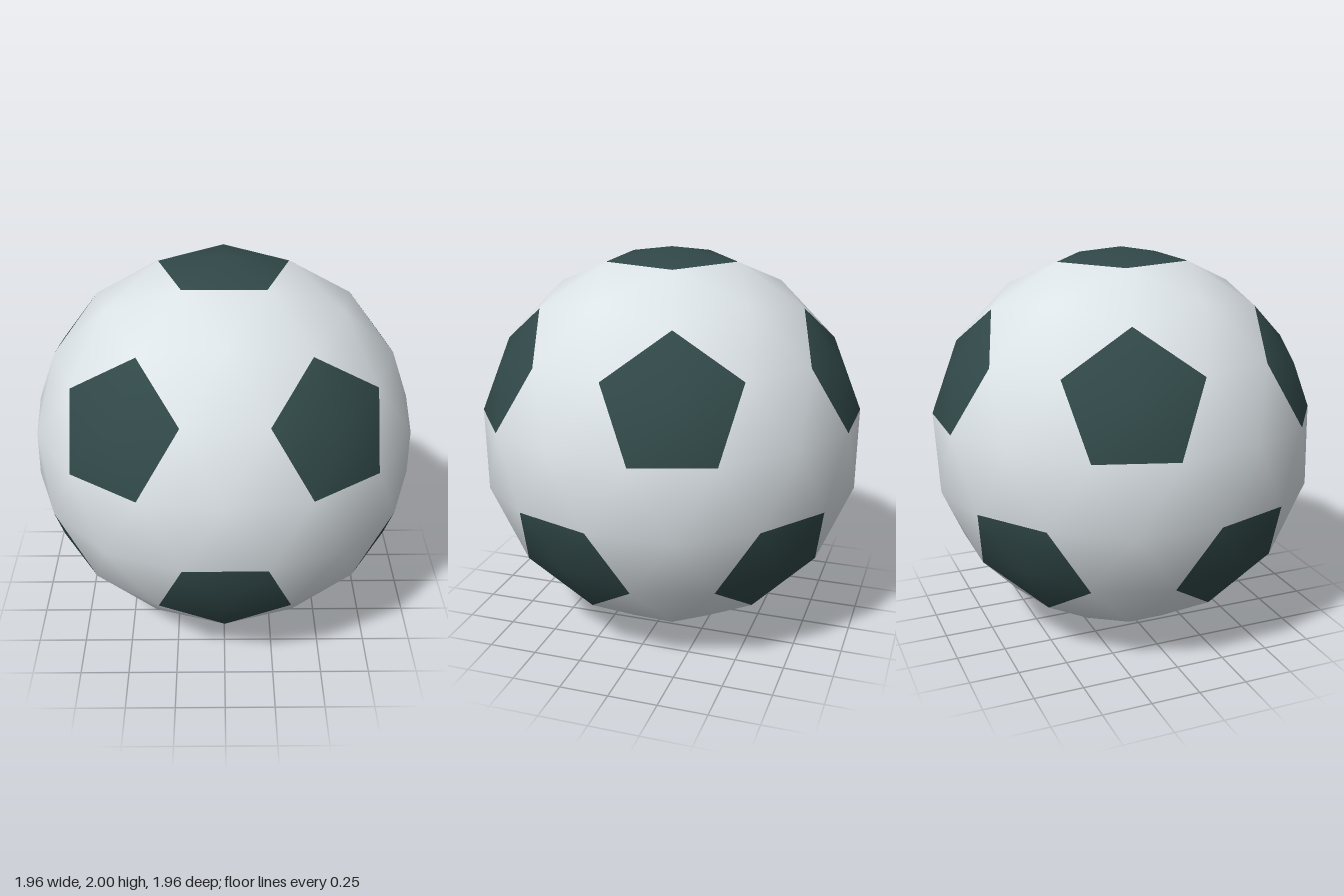
import * as THREE from 'three';

// Corners and faces of an icosahedron with one corner straight up
function icosahedron() {
  const corners = [0, 1, 0, 0, -1, 0];
  const faces = [];
  const h = 1 / Math.sqrt(5), r = 2 / Math.sqrt(5);
  for (let i = 0; i < 5; i++) {
    const a = Math.PI + (i * Math.PI * 2) / 5, b = a + Math.PI / 5;
    corners.push(Math.sin(a) * r, h, Math.cos(a) * r);
    corners.push(Math.sin(b) * r, -h, Math.cos(b) * r);
    const u = 2 + 2 * i, l = u + 1;
    const u2 = 2 + 2 * ((i + 1) % 5), l2 = u2 + 1;
    faces.push(0, u, u2, u, l, u2, l, l2, u2, 1, l2, l);
  }
  return { corners, faces };
}

export function createModel() {
  const white = new THREE.MeshStandardMaterial({ color: 0xdde4e8 });
  white.name = 'white leather';
  const dark = new THREE.MeshStandardMaterial({ color: 0x314848 });
  dark.name = 'dark leather';

  // Splitting each edge in three gives pentagons around the corners and hexagons between
  const { corners, faces } = icosahedron();
  const ball = new THREE.PolyhedronGeometry(corners, faces, 1, 2);
  const pos = ball.getAttribute('position');

  const centres = [];
  for (let i = 0; i < corners.length; i += 3) {
    centres.push(new THREE.Vector3().fromArray(corners, i));
  }

  // Sort the triangles into pentagon and hexagon panels
  const panels = { pentagonPanels: [], hexagonPanels: [] };
  const p = new THREE.Vector3();
  for (let t = 0; t < pos.count; t += 3) {
    const points = [];
    let inPentagon = false;
    for (let k = 0; k < 3; k++) {
      p.fromBufferAttribute(pos, t + k);
      if (centres.some((c) => c.distanceTo(p) < 0.01)) inPentagon = true;
      points.push(p.x, p.y, p.z);
    }
    panels[inPentagon ? 'pentagonPanels' : 'hexagonPanels'].push(...points);
  }

  const group = new THREE.Group();
  group.name = 'ball';
  for (const [name, points] of Object.entries(panels)) {
    const geo = new THREE.BufferGeometry();
    geo.setAttribute('position', new THREE.Float32BufferAttribute(points, 3));
    // Smooth normals point straight out from the centre
    geo.setAttribute('normal', new THREE.Float32BufferAttribute(points, 3));
    geo.normalizeNormals();
    geo.translate(0, 1, 0);
    const mesh = new THREE.Mesh(geo, name === 'pentagonPanels' ? dark : white);
    mesh.name = name;
    group.add(mesh);
  }
  return group;
}
